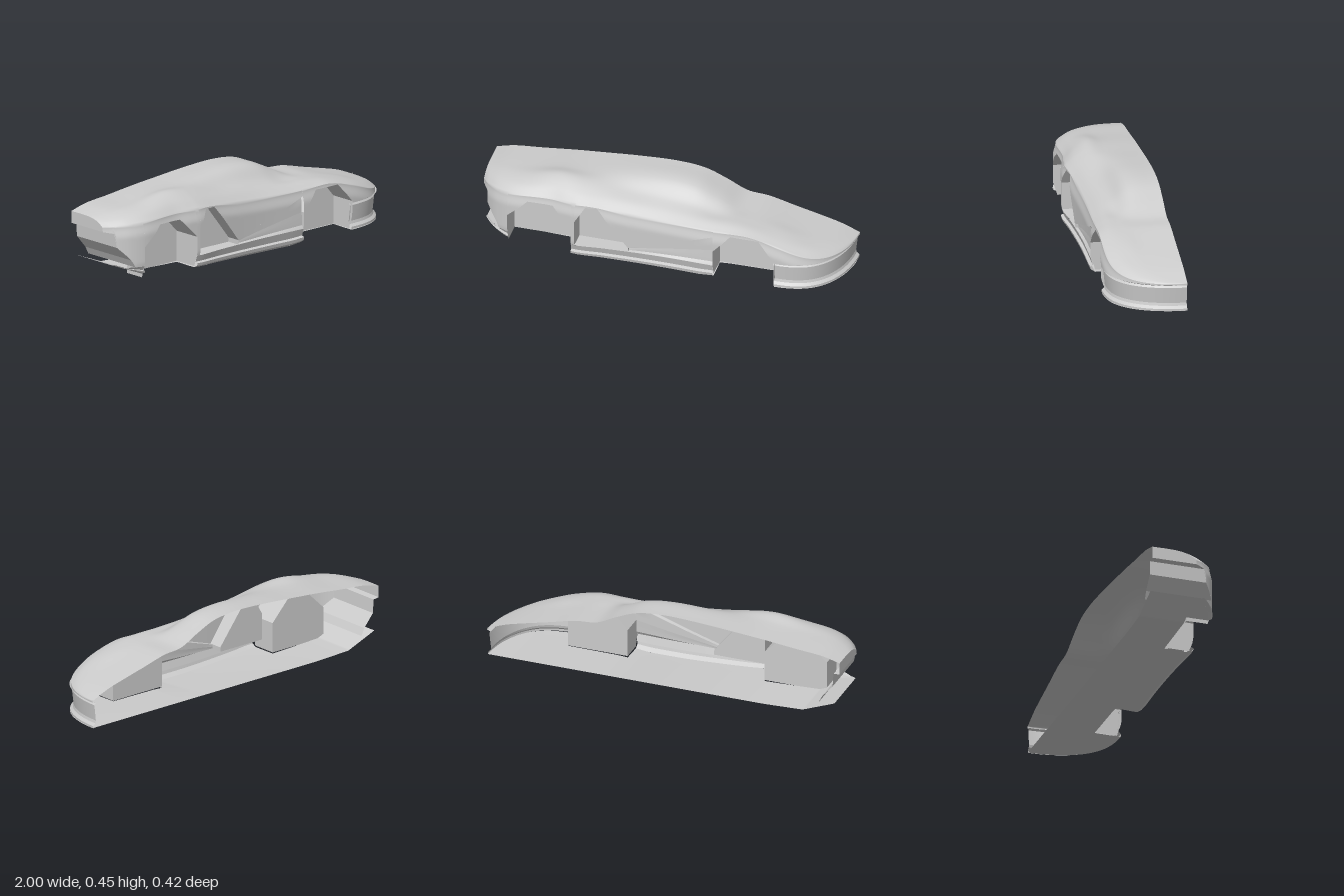
import * as THREE from 'three';
import { mergeGeometries, mergeVertices } from 'three/addons/utils/BufferGeometryUtils.js';

const CUT = -0.21; // z of the open centre plane
const lerp = THREE.MathUtils.lerp;
const smooth = (t) => THREE.MathUtils.smoothstep(t, 0, 1);

// Piecewise curve through [x, value] pairs: rounded by default, straight on request
function track(pts, straight = false) {
  const slope = (i) => {
    const a = pts[Math.max(i - 1, 0)], b = pts[Math.min(i + 1, pts.length - 1)];
    return (b[1] - a[1]) / (b[0] - a[0]);
  };
  return (x) => {
    let i = 0;
    while (i < pts.length - 2 && x > pts[i + 1][0]) i++;
    const [x0, y0] = pts[i], [x1, y1] = pts[i + 1], h = x1 - x0;
    const t = THREE.MathUtils.clamp((x - x0) / h, 0, 1);
    if (straight) return lerp(y0, y1, t);
    const t2 = t * t, t3 = t2 * t;
    return (2 * t3 - 3 * t2 + 1) * y0 + (t3 - 2 * t2 + t) * h * slope(i)
      + (3 * t2 - 2 * t3) * y1 + (t3 - t2) * h * slope(i + 1);
  };
}

// Grid surface from fn(u, v) -> [x, y, z]
function grid(nu, nv, fn) {
  const pos = [], idx = [];
  for (let i = 0; i <= nu; i++) for (let j = 0; j <= nv; j++) pos.push(...fn(i / nu, j / nv));
  for (let i = 0; i < nu; i++) for (let j = 0; j < nv; j++) {
    const a = i * (nv + 1) + j, b = a + nv + 1;
    idx.push(a, a + 1, b, b, a + 1, b + 1);
  }
  const g = new THREE.BufferGeometry();
  g.setAttribute('position', new THREE.Float32BufferAttribute(pos, 3));
  g.setIndex(idx);
  return g;
}

// Half width in plan: outer z along the length
const planSide = track([[-1, 0.05], [-0.97, 0.095], [-0.9, 0.155], [-0.8, 0.188], [-0.6, 0.187], [-0.5, 0.2],
  [-0.44, 0.205], [-0.3, 0.192], [0, 0.18], [0.3, 0.185], [0.6, 0.19]]);
const width = (x) => (x < 0.6 ? planSide(x)
  : CUT + 0.4 * Math.sqrt(Math.max(0, 1 - ((x - 0.6) / 0.4) ** 3)));

// Section heights: x, centre, roof edge, greenhouse foot, shoulder, top of side
const STATIONS = [
  [-1, 0.345, 0.345, 0.34, 0.327, 0.305], [-0.9, 0.37, 0.372, 0.367, 0.35, 0.32],
  [-0.75, 0.385, 0.388, 0.39, 0.37, 0.33], [-0.57, 0.405, 0.412, 0.425, 0.39, 0.335],
  [-0.4, 0.42, 0.418, 0.412, 0.378, 0.335], [-0.2, 0.436, 0.43, 0.385, 0.356, 0.315],
  [0, 0.443, 0.437, 0.372, 0.338, 0.3], [0.15, 0.427, 0.42, 0.355, 0.328, 0.295],
  [0.27, 0.38, 0.372, 0.332, 0.322, 0.293], [0.38, 0.328, 0.326, 0.325, 0.32, 0.295],
  [0.5, 0.315, 0.314, 0.314, 0.311, 0.295], [0.65, 0.278, 0.28, 0.285, 0.277, 0.26],
  [0.8, 0.242, 0.24, 0.238, 0.23, 0.208], [0.9, 0.215, 0.211, 0.207, 0.198, 0.183],
  [1, 0.175, 0.175, 0.174, 0.173, 0.17]];
const heights = [1, 2, 3, 4, 5].map((c) => track(STATIONS.map((s) => [s[0], s[c]])));
const ACROSS = [0, 0.45, 0.68, 0.86, 1];

function sideZ(x, y) {
  const z = width(x) - 0.014 * (1 - smooth((heights[4](x) - y) / 0.07)) - 0.025 * smooth((0.11 - y) / 0.1);
  return Math.max(CUT, z);
}

// Point on the outer skin: v runs from the centre line over the top, then down the side to yEnd
const TOP = 0.6;
function skin(x, v, yEnd) {
  const yTop = heights[4](x);
  if (v > TOP) {
    const y = lerp(yTop, Math.min(yEnd, yTop), (v - TOP) / (1 - TOP));
    return [x, y, sideZ(x, y)];
  }
  const zTop = sideZ(x, yTop);
  const pts = ACROSS.map((f, i) => new THREE.Vector3(x, heights[i](x), lerp(CUT, zTop, f)));
  const p = new THREE.CatmullRomCurve3(pts).getPoint(v / TOP);
  return [x, p.y, p.z];
}

// Openings in the side
const REAR_WELL = [[-0.83, 0.025], [-0.83, 0.195], [-0.72, 0.3], [-0.58, 0.3], [-0.475, 0.19], [-0.475, 0.025]];
const FRONT_WELL = [[0.3, 0.02], [0.3, 0.175], [0.395, 0.28], [0.55, 0.28], [0.64, 0.175], [0.64, 0.02]];
const INTAKE = [[-0.455, 0.085], [-0.455, 0.235], [-0.4, 0.325], [-0.335, 0.325], [-0.165, 0.11], [-0.165, 0.085]];
const edgeOf = (poly) => track(poly.slice(1, 5), true);
const crease = track([[-0.165, 0.11], [0.36, 0.282]], true);
const tailEdge = track([[-1, 0.28], [-0.965, 0.275], [-0.96, 0.2], [-0.9, 0.13], [-0.88, 0.09], [-0.83, 0.09]], true);
const floorEdge = track([[-0.97, 0.1], [-0.79, 0.03], [-0.4, 0.015], [0, 0.003], [0.22, 0], [0.36, 0.013], [1, 0.02]], true);
const floorY = (x, z) => lerp(Math.max(floorEdge(x), 0.022), floorEdge(x), Math.min(1, (z - CUT) / 0.36));

// Splits a strip so columns fall exactly on the given breaks
function strips(breaks, per, nv, fn) {
  return breaks.slice(1).map((b, i) => grid(per, nv, (u, v) => fn(lerp(breaks[i], b, u), v)));
}

// Recess: walls following the opening inwards, closed by a flat inner panel
function recess(poly, depthZ, closed) {
  const loop = closed ? [...poly, poly[0]] : poly;
  const walls = loop.slice(1).map((b, i) => grid(12, 1, (u, v) => {
    const x = lerp(loop[i][0], b[0], u), y = lerp(loop[i][1], b[1], u);
    return [x, y, lerp(sideZ(x, y), depthZ, v)];
  }));
  const cap = new THREE.ShapeGeometry(new THREE.Shape(poly.map((p) => new THREE.Vector2(...p))));
  cap.deleteAttribute('uv');
  cap.deleteAttribute('normal');
  cap.translate(0, 0, depthZ);
  return [...walls, cap];
}

export function createModel() {
  const car = new THREE.Group();
  car.name = 'halfCarBody';
  const material = new THREE.MeshStandardMaterial({ color: 0xcccccc, side: THREE.DoubleSide });
  const add = (name, geos, weld = true) => {
    let g = mergeGeometries(geos.map((k) => { const n = k.clone(); n.deleteAttribute('normal'); return n; }));
    if (weld) g = mergeVertices(g, 1e-5);
    g.computeVertexNormals();
    const mesh = new THREE.Mesh(g, material);
    mesh.name = name;
    car.add(mesh);
  };

  // Upper shell, ending at whichever opening or crease lies below it
  const shell = (breaks, per, yEnd) => strips(breaks, per, 40, (x, v) => skin(x, v, yEnd(x)));
  add('upperShell', [
    ...shell([-1, -0.96, -0.88, -0.83], 6, tailEdge),
    ...shell([-0.83, -0.72, -0.58, -0.475], 8, edgeOf(REAR_WELL)),
    ...shell([-0.475, -0.455], 2, () => 0.085),
    ...shell([-0.455, -0.4, -0.335, -0.165], 8, edgeOf(INTAKE)),
    ...shell([-0.165, 0.3], 28, crease),
    ...shell([0.3, 0.395, 0.55, 0.64], 8, edgeOf(FRONT_WELL)),
    grid(36, 40, (u, v) => skin(0.64 + 0.36 * Math.sin(u * Math.PI / 2), v, 0.165)),
  ]);

  // Door panel set in below the diagonal crease
  const doorRows = [[0, 0], [0.04, -0.018], [0.5, -0.018], [0.9, -0.014], [1, 0]];
  add('doorPanel', doorRows.slice(1).map((b, i) => grid(24, 3, (u, v) => {
    const x = lerp(-0.165, 0.3, u), a = doorRows[i];
    const y = lerp(crease(x), 0.085, lerp(a[0], b[0], v));
    return [x, y, sideZ(x, y) + lerp(a[1], b[1], v)];
  })), false);

  // Sill with a small ledge, and the rear corner below the tail
  const sillRows = [[0, -0.002], [0.5, -0.014], [0.58, 0.002], [0.8, -0.002], [1, -0.025]];
  const sill = (x0, x1, top) => sillRows.slice(1).map((b, i) => grid(24, 1, (u, v) => {
    const x = lerp(x0, x1, u), a = sillRows[i];
    return [x, lerp(top(x), floorEdge(x), lerp(a[0], b[0], v)), width(x) + lerp(a[1], b[1], v)];
  }));
  add('sill', sill(-0.475, 0.3, () => 0.085), false);
  add('rearCorner', sill(-0.97, -0.83, (x) => Math.max(0.09, floorEdge(x) + 0.006)), false);

  // Nose band: groove, bumper face and splitter swept around the plan curve
  const noseRows = [[0.168, 0], [0.158, -0.02], [0.148, -0.012], [0.06, -0.022], [0.045, -0.018], [0.032, -0.004], [0.02, -0.004]];
  add('noseBumper', noseRows.slice(1).map((b, i) => grid(36, 1, (u, v) => {
    const x = 0.64 + 0.36 * Math.sin(u * Math.PI / 2), z = width(x), a = noseRows[i];
    const d = new THREE.Vector2(x - 0.5, z - CUT).normalize(), off = lerp(a[1], b[1], v);
    return [x + d.x * off, lerp(a[0], b[0], v), Math.max(CUT, z + d.y * off)];
  })), false);

  // Tail: upright lip, then a recessed rear panel sloping under
  const lip = grid(40, 1, (u, v) => {
    const p = skin(-1, u, 0.28);
    return [-1, lerp(p[1], 0.28, v), p[2]];
  });
  const tailRows = [[-1, 0.28], [-0.965, 0.275], [-0.96, 0.2], [-0.9, 0.13], [-0.88, 0.09]];
  add('tailPanel', [lip, ...tailRows.slice(1).map((b, i) => grid(4, 16, (u, v) => {
    const x = lerp(tailRows[i][0], b[0], u), y = lerp(tailRows[i][1], b[1], u);
    return [x, y, lerp(CUT, sideZ(x, y), v)];
  }))], false);

  // Floor, narrowed beside the wheel wells
  const floor = (breaks, per, outer) => strips(breaks, per, 10, (x, v) => {
    const z = lerp(CUT, Math.max(CUT, outer(x)), v);
    return [x, floorY(x, z), z];
  });
  const sillFoot = (x) => width(x) - 0.025;
  add('floor', [
    ...floor([-0.97, -0.83], 10, sillFoot),
    ...floor([-0.83, -0.79, -0.475], 4, () => 0.04),
    ...floor([-0.475, 0, 0.22, 0.3], 12, sillFoot),
    ...floor([0.3, 0.36, 0.64], 4, () => 0.04),
    grid(30, 10, (u, v) => {
      const x = 0.64 + 0.356 * Math.sin(u * Math.PI / 2), z = lerp(CUT, width(x) - 0.004, v);
      return [x, floorY(x, z), Math.max(CUT, z)];
    }),
  ]);

  // Wheel wells and side intake
  add('rearWheelWell', recess(REAR_WELL, 0.04, false), false);
  add('frontWheelWell', recess(FRONT_WELL, 0.04, false), false);
  add('sideIntake', recess(INTAKE, 0.105, true), false);
  return car;
}
